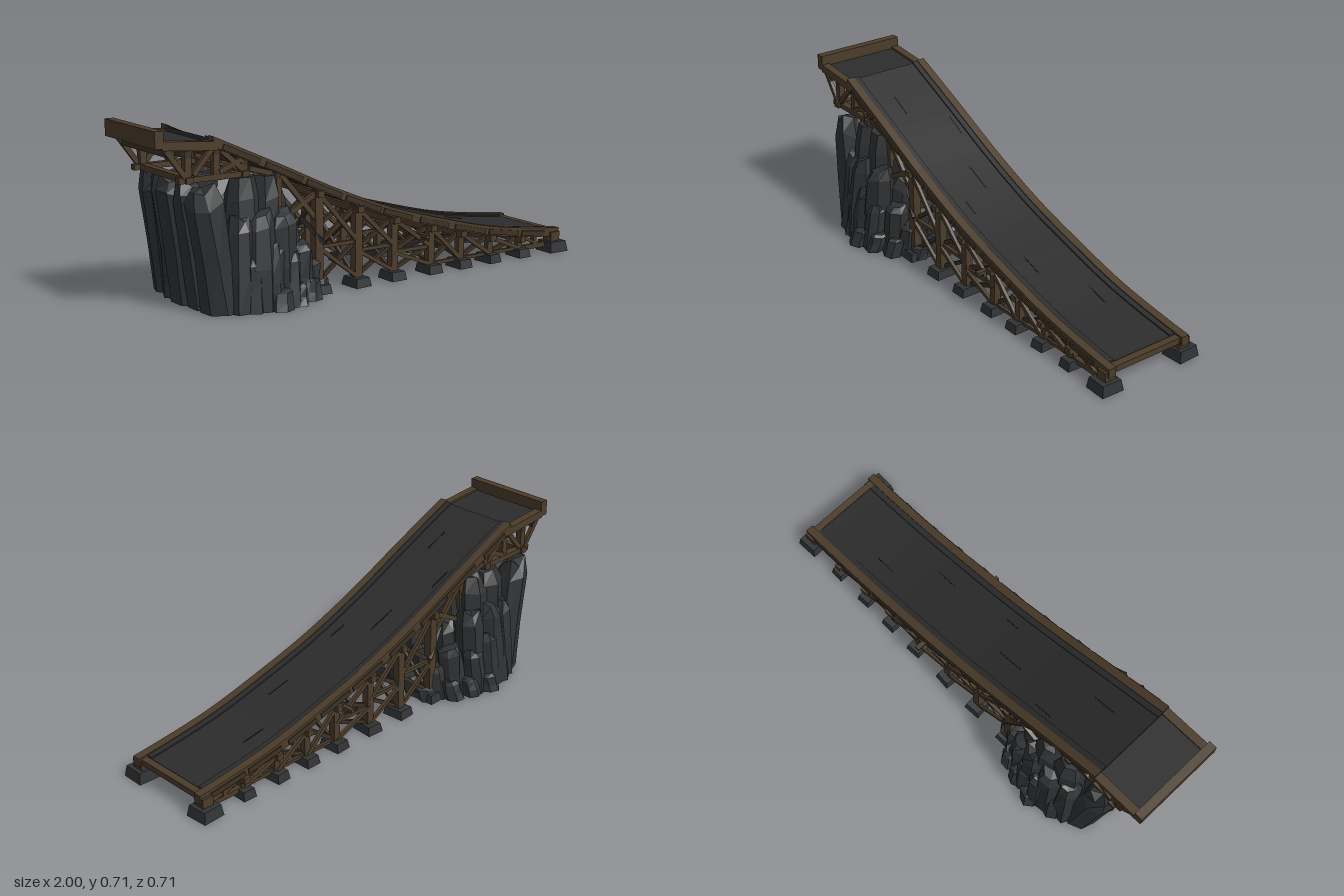
import * as THREE from 'three';

const colour = (name, hex) => {
  const m = new THREE.MeshStandardMaterial({ color: hex });
  m.name = name;
  return m;
};

export function createModel() {
  const wood = colour('weathered wood', 0x4b3c2a);
  const darkWood = colour('dark wood', 0x3b3024);
  const deckMat = colour('dark deck', 0x2c2c2c);
  const rockMat = colour('rock', 0x303234);
  const crackMat = colour('crack', 0x171717);
  const model = new THREE.Group();
  model.name = 'trestleRamp';

  let seed = 7;
  const rnd = (a, b) => {
    seed = (seed * 16807) % 2147483647;
    return a + (b - a) * (seed / 2147483647);
  };
  const group = (name) => {
    const g = new THREE.Group();
    g.name = name;
    model.add(g);
    return g;
  };
  const add = (parent, name, geo, mat) => {
    const m = new THREE.Mesh(geo, mat);
    m.name = name;
    parent.add(m);
    return m;
  };
  const box = (parent, name, mat, size, pos) => {
    const m = add(parent, name, new THREE.BoxGeometry(...size), mat);
    m.position.set(...pos);
    return m;
  };
  // Timber of section w by d running between two points
  const beam = (parent, name, mat, a, b, w, d = w) => {
    const p = new THREE.Vector3(...a), q = new THREE.Vector3(...b);
    const dir = q.clone().sub(p);
    const m = add(parent, name, new THREE.BoxGeometry(w, dir.length(), d), mat);
    m.position.copy(p).add(q).multiplyScalar(0.5);
    m.quaternion.setFromUnitVectors(new THREE.Vector3(0, 1, 0), dir.normalize());
    return m;
  };

  // Height of the rail top along the ramp
  const slope = new THREE.CatmullRomCurve3([
    [-0.76, 0.668], [-0.47, 0.535], [-0.2, 0.408], [0.065, 0.302],
    [0.33, 0.222], [0.6, 0.153], [0.87, 0.112], [0.98, 0.1],
  ].map(([x, y]) => new THREE.Vector3(x, y, 0)));
  const line = slope.getPoints(35);
  const topAt = (x) => {
    if (x < -0.76) return 0.645 + (-0.75 - x) * 0.1;
    const i = Math.min(Math.max(line.findIndex((p) => p.x >= x), 1), line.length - 1);
    const a = line[i - 1], b = line[i];
    return a.y + ((b.y - a.y) * (x - a.x)) / (b.x - a.x);
  };
  // Strip following a line in x and y, from z0 to z1
  const strip = (parent, name, mat, pts, upper, lower, z0, z1) => {
    const outline = [
      ...pts.map((p) => new THREE.Vector2(p.x, p.y + lower)),
      ...pts.slice().reverse().map((p) => new THREE.Vector2(p.x, p.y + upper)),
    ];
    const geo = new THREE.ExtrudeGeometry(new THREE.Shape(outline), { depth: z1 - z0, bevelEnabled: false });
    geo.translate(0, 0, z0);
    return add(parent, name, geo, mat);
  };

  // Deck, rails and curbs
  const platform = [new THREE.Vector3(-0.97, 0.667, 0), new THREE.Vector3(-0.74, 0.647, 0)];
  const deck = group('deck');
  const deckLine = line.filter((p) => p.x < 0.945);
  strip(deck, 'platformDeck', deckMat, platform, -0.008, -0.035, -0.17, 0.17);
  strip(deck, 'rampDeck', deckMat, deckLine, -0.01, -0.037, -0.17, 0.17);
  for (const s of [-1, 1]) {
    const span = (a, b) => (s > 0 ? [a, b] : [-b, -a]);
    strip(deck, 'platformRail', wood, platform, 0, -0.034, ...span(0.165, 0.2));
    strip(deck, 'rampRail', wood, line, 0, -0.04, ...span(0.165, 0.2));
    strip(deck, 'curb', deckMat, deckLine, -0.004, -0.03, ...span(0.14, 0.165));
    // Overlapping rail boards
    for (let i = 0; i < 9; i++) {
      const x = -0.72 + i * 0.185, e = Math.min(x + rnd(0.13, 0.18), 0.97);
      beam(deck, 'railBoard', darkWood, [x, topAt(x) - 0.024, s * 0.2], [e, topAt(e) - 0.024, s * 0.2], 0.022, 0.01);
    }
  }
  box(deck, 'topEndBeam', wood, [0.036, 0.066, 0.4], [-0.982, 0.673, 0]);
  box(deck, 'lowEndBeam', wood, [0.03, 0.025, 0.33], [0.955, 0.082, 0]);
  for (const [x, z, len] of [[-0.62, 0.05, 0.1], [-0.2, -0.04, 0.12], [-0.05, 0.09, 0.07],
    [0.3, 0.06, 0.1], [0.55, -0.07, 0.1], [-0.45, -0.12, 0.09]]) {
    const y = (u) => topAt(u) - 0.0095;
    beam(deck, 'crack', crackMat, [x, y(x), z], [x + len, y(x + len), z + 0.004], 0.002, 0.004);
  }

  // Trestle bents, stone footings and bracing
  const trestle = group('trestle');
  const bents = [-0.29, -0.1, 0.08, 0.27, 0.43, 0.59, 0.76];
  const footing = (x, z, w, h, d) => {
    const g = new THREE.CylinderGeometry(0.6, 0.707, 1, 4).rotateY(Math.PI / 4).toNonIndexed();
    g.computeVertexNormals();
    const m = add(trestle, 'footing', g, rockMat);
    m.scale.set(w, h, d);
    m.position.set(x, h / 2, z);
    m.rotation.y = rnd(-0.08, 0.08);
  };
  bents.forEach((x, i) => {
    const top = topAt(x) - 0.04;
    const w = 0.036 - i * 0.002;
    for (const s of [-1, 1]) {
      const z = s * 0.18;
      footing(x, z, 0.08 - i * 0.003, 0.036, 0.1);
      beam(trestle, 'post', wood, [x, 0.03, z], [x, top, z], w);
      const n = bents[i + 1];
      if (n === undefined) continue;
      const nTop = topAt(n) - 0.04;
      // Two tiers of crossed braces in tall bays, one in low bays
      const mid = top > 0.24 ? nTop * 0.56 : 0.035;
      const zb = s * 0.19;
      beam(trestle, 'brace', wood, [x, top - 0.01, zb], [n, mid, zb], 0.018, 0.014);
      beam(trestle, 'brace', darkWood, [x, mid, s * 0.172], [n, nTop - 0.005, s * 0.172], 0.018, 0.014);
      if (mid > 0.05) {
        beam(trestle, 'lowerBrace', wood, [x, mid, zb], [n, 0.035, zb], 0.016, 0.014);
        beam(trestle, 'lowerBrace', darkWood, [x, 0.035, s * 0.172], [n, mid, s * 0.172], 0.016, 0.014);
        beam(trestle, 'middleRail', wood, [x, mid, s * 0.18], [n, mid, s * 0.18], 0.015);
      } else {
        beam(trestle, 'sill', wood, [x, 0.035, s * 0.18], [n, 0.035, s * 0.18], 0.014);
      }
    }
    // Crosswise timbers
    box(trestle, 'capBeam', wood, [0.03, 0.026, 0.43], [x, top - 0.01, 0]);
    if (top > 0.15) {
      beam(trestle, 'crossBrace', darkWood, [x + 0.012, 0.05, -0.17], [x + 0.012, top - 0.02, 0.17], 0.014);
      beam(trestle, 'crossBrace', darkWood, [x - 0.012, 0.05, 0.17], [x - 0.012, top - 0.02, -0.17], 0.014);
    }
  });
  box(trestle, 'crossPlank', wood, [0.02, 0.014, 0.47], [0.22, 0.165, 0]);
  for (const s of [-1, 1]) {
    beam(trestle, 'endSill', wood, [0.76, 0.032, s * 0.18], [0.93, 0.032, s * 0.18], 0.02);
    beam(trestle, 'endBrace', wood, [0.77, 0.085, s * 0.18], [0.88, 0.035, s * 0.18], 0.014);
    beam(trestle, 'endPost', wood, [0.85, 0.03, s * 0.18], [0.85, 0.09, s * 0.18], 0.02);
    footing(0.95, s * 0.19, 0.098, 0.046, 0.1);
    box(trestle, 'endBlock', wood, [0.05, 0.045, 0.05], [0.95, 0.063, s * 0.185]);
    // Loose broken timbers
    beam(trestle, 'brokenTimber', deckMat, [-0.04, 0.13, s * 0.15], [0.07, 0.155, s * 0.19], 0.012);
    beam(trestle, 'brokenTimber', deckMat, [0.13, 0.12, s * 0.17], [0.23, 0.15, s * 0.2], 0.014);
    beam(trestle, 'brokenTimber', deckMat, [-0.36, 0.31, s * 0.17], [-0.27, 0.2, s * 0.2], 0.016);
  }

  // Supports of the upper platform
  const upper = group('platformSupports');
  for (const s of [-1, 1]) {
    const z = s * 0.175;
    box(upper, 'bearer', wood, [0.3, 0.022, 0.03], [-0.75, 0.512, z]);
    for (const x of [-0.86, -0.74, -0.62, -0.47]) {
      beam(upper, 'post', wood, [x, x < -0.5 ? 0.5 : 0.36, z], [x, topAt(x) - 0.035, z], 0.028);
    }
    for (const [x0, y0, x1, y1] of [[-0.95, 0.63, -0.87, 0.52], [-0.84, 0.53, -0.76, 0.62],
      [-0.72, 0.61, -0.63, 0.53], [-0.73, 0.53, -0.63, 0.57], [-0.6, 0.53, -0.5, 0.5],
      [-0.46, 0.49, -0.3, 0.3], [-0.45, 0.32, -0.3, 0.4]]) {
      beam(upper, 'strut', wood, [x0, y0, s * 0.185], [x1, y1, s * 0.185], 0.02, 0.016);
    }
  }
  for (const x of [-0.93, -0.86, -0.74, -0.62, -0.47]) {
    box(upper, 'joist', darkWood, [0.026, 0.026, 0.38], [x, topAt(x) - 0.048, 0]);
  }
  for (const x of [-0.86, -0.62]) box(upper, 'crossSill', wood, [0.03, 0.024, 0.4], [x, 0.512, 0]);

  // Rock outcrop made of faceted, leaning columns
  const rocks = group('rockOutcrop');
  const column = (x, z, r, h) => {
    const sides = 7;
    const levels = [[0, 1.05], [0.42, 1], [0.86, 0.95], [1, 0.66]];
    const wobble = Array.from({ length: sides * 4 }, () => rnd(0.86, 1.12));
    const geo = new THREE.CylinderGeometry(1, 1, 1, sides, 3);
    const p = geo.attributes.position;
    const turn = rnd(0, 1);
    const lean = x < -0.7 ? -0.07 : 0.012;
    const leanZ = -Math.sign(z) * 0.02;
    for (let i = 0; i < p.count; i++) {
      const k = Math.round((p.getY(i) + 0.5) * 3);
      const a = Math.atan2(p.getZ(i), p.getX(i));
      const j = (Math.round((a / (2 * Math.PI)) * sides) + sides) % sides;
      const rim = Math.hypot(p.getX(i), p.getZ(i)) > 0.5;
      const f = rim ? r * levels[k][1] * wobble[k * sides + j] : 0;
      const t = levels[k][0];
      const y = h * t * (rim && k > 0 ? 0.6 + 0.4 * wobble[k * sides + j] : 1);
      p.setXYZ(i, x + lean * t + f * Math.cos(a + turn), Math.min(y, 0.503), z + leanZ * t + f * Math.sin(a + turn));
    }
    const flat = geo.toNonIndexed();
    flat.computeVertexNormals();
    add(rocks, 'rockColumn', flat, rockMat);
  };
  const centre = [[-0.63, 0.17, 0.49], [-0.74, 0.085, 0.5], [-0.47, 0.1, 0.44],
    [-0.38, 0.07, 0.26], [-0.31, 0.06, 0.1]];
  centre.forEach(([x, r, h]) => column(x, 0, r, h));
  const sideColumns = [
    [-0.74, 0.1, 0.075, 0.5], [-0.735, 0.2, 0.075, 0.48], [-0.64, 0.19, 0.075, 0.5],
    [-0.545, 0.19, 0.075, 0.49], [-0.48, 0.13, 0.07, 0.44], [-0.68, 0.24, 0.055, 0.36],
    [-0.6, 0.25, 0.065, 0.37], [-0.5, 0.24, 0.065, 0.36], [-0.42, 0.16, 0.06, 0.32],
    [-0.56, 0.275, 0.05, 0.25], [-0.48, 0.275, 0.045, 0.2], [-0.64, 0.27, 0.045, 0.2],
    [-0.4, 0.22, 0.055, 0.22], [-0.35, 0.11, 0.055, 0.2], [-0.34, 0.19, 0.05, 0.14],
    [-0.54, 0.305, 0.047, 0.075], [-0.45, 0.285, 0.042, 0.08], [-0.29, 0.1, 0.048, 0.08],
    [-0.29, 0.18, 0.048, 0.06], [-0.37, 0.25, 0.042, 0.08],
  ];
  for (const s of [-1, 1]) for (const [x, z, r, h] of sideColumns) column(x, s * z, r, h);

  return model;
}
